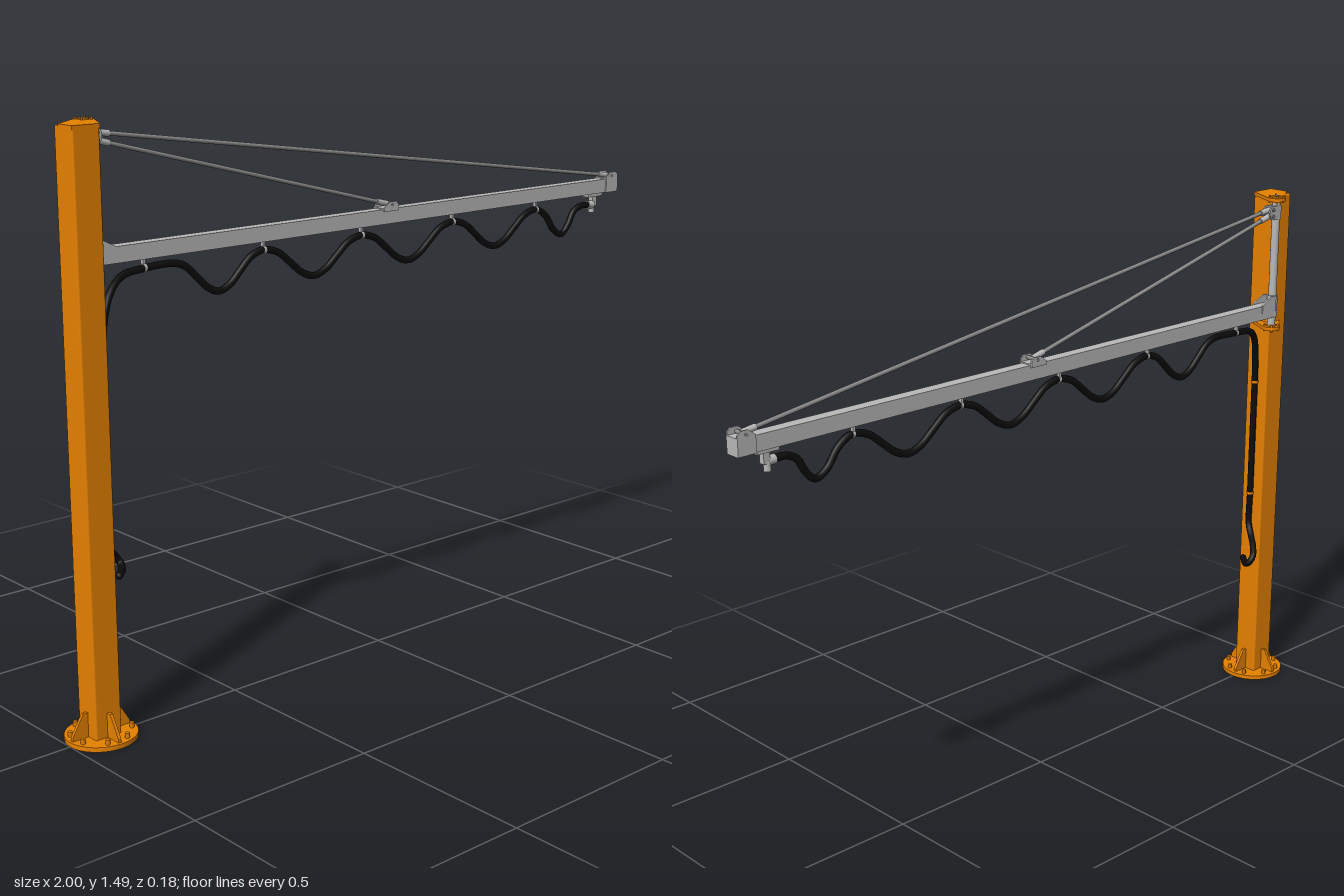
import * as THREE from 'three';
import { RoundedBoxGeometry } from 'three/addons/geometries/RoundedBoxGeometry.js';

const mat = (name, color) => {
  const m = new THREE.MeshStandardMaterial({ color });
  m.name = name;
  return m;
};

export function createModel() {
  const orange = mat('orange paint', 0xe88200);
  const grey = mat('light grey metal', 0xb9b9b9);
  const darkGrey = mat('grey steel', 0x8c8c8c);
  const black = mat('black rubber', 0x0c0c0c);
  const root = new THREE.Group();
  root.name = 'jibCrane';

  const CX = -0.912; // column axis
  const PX = -0.853; // pivot axis
  const PZ = -0.063; // boom plane

  const add = (name, geo, m, x = 0, y = 0, z = 0) => {
    const mesh = new THREE.Mesh(geo, m);
    mesh.name = name;
    mesh.position.set(x, y, z);
    root.add(mesh);
    return mesh;
  };
  const box = (name, m, w, h, d, x, y, z) => add(name, new THREE.BoxGeometry(w, h, d), m, x, y, z);
  const cyl = (name, m, r, h, x, y, z, n = 16) => add(name, new THREE.CylinderGeometry(r, r, h, n), m, x, y, z);
  const shapeOf = (pts) => new THREE.Shape(pts.map(([x, y]) => new THREE.Vector2(x, y)));
  const plate = (pts, depth) => new THREE.ExtrudeGeometry(shapeOf(pts), { depth, bevelEnabled: false }).translate(0, 0, -depth / 2);

  // Cylinder between two points
  const rod = (name, m, a, b, r) => {
    const dir = b.clone().sub(a);
    const mid = a.clone().add(b).multiplyScalar(0.5);
    const mesh = cyl(name, m, r, dir.length(), mid.x, mid.y, mid.z, 12);
    mesh.quaternion.setFromUnitVectors(new THREE.Vector3(0, 1, 0), dir.normalize());
  };

  // Column and round foot
  add('column', new RoundedBoxGeometry(0.074, 1.478, 0.074, 3, 0.005), orange, CX, 0.743, 0);
  cyl('basePlate', orange, 0.09, 0.012, -0.91, 0.006, 0, 40);
  const gusset = plate([[0.035, 0.01], [0.082, 0.01], [0.082, 0.022], [0.05, 0.075], [0.035, 0.075]], 0.008);
  for (let i = 0; i < 4; i++) {
    add('baseGusset', gusset, orange, CX, 0, 0).rotation.y = i * Math.PI / 2;
    for (const off of [0.38, 1.19]) {
      const a = i * Math.PI / 2 + off;
      cyl('anchorBolt', orange, 0.006, 0.014, -0.91 + 0.076 * Math.cos(a), 0.018, 0.076 * Math.sin(a), 6);
    }
  }

  // Pivot brackets: a plate with a rounded nose at the pivot
  const nose = [];
  for (let i = 0; i <= 10; i++) {
    const a = -0.45 + i * 0.26;
    nose.push([PX + 0.025 * Math.cos(a), -PZ + 0.025 * Math.sin(a)]);
  }
  const bracket = (name, left, front, y) => {
    const pts = [[left, front], [-0.874, front], ...nose, [left, 0.02]];
    add(name, plate(pts, 0.01).rotateX(-Math.PI / 2), orange, 0, y, 0);
    cyl('pivotHub', orange, 0.014, 0.018, PX, y, PZ);
    cyl('pivotPin', grey, 0.006, 0.022, PX, y, PZ);
    for (let i = 0; i < 4; i++) {
      const a = Math.PI / 4 + i * Math.PI / 2;
      cyl('pivotBolt', orange, 0.003, 0.022, PX + 0.019 * Math.cos(a), y, PZ + 0.019 * Math.sin(a), 6);
    }
  };
  bracket('topBracket', -0.949, -0.037, 1.481);
  bracket('lowerBracket', -0.94, -0.03, 1.112);

  // Turning mast
  cyl('mast', grey, 0.0115, 0.36, PX, 1.296, PZ, 20);

  // Boom: a hollow rail with a slot underneath
  const w = 0.0165, t = 0.003, s = 0.006;
  const rail = shapeOf([[-w, 0.04], [-w, 0], [-s, 0], [-s, t], [-w + t, t], [-w + t, 0.04 - t],
    [w - t, 0.04 - t], [w - t, t], [s, t], [s, 0], [w, 0], [w, 0.04]]);
  const railGeo = new THREE.ExtrudeGeometry(rail, { depth: 1.84, bevelEnabled: false }).rotateY(Math.PI / 2);
  add('boom', railGeo, grey, -0.845, 1.146, PZ);
  box('boomEndCap', grey, 0.006, 0.042, 0.036, 0.997, 1.166, PZ);

  // Boom root: low triangular cheeks and a slim collar on the mast
  const cheek = plate([[-0.848, 1.165], [-0.79, 1.165], [-0.79, 1.188], [-0.83, 1.208], [-0.848, 1.208]], 0.005);
  for (const k of [-1, 1]) add('boomRootCheek', cheek, grey, 0, 0, PZ + k * 0.0165);
  cyl('boomRootCollar', grey, 0.015, 0.062, PX, 1.176, PZ, 20);

  // Tie rods with forked ends
  const pin = (x, y, len) => { cyl('clevisPin', darkGrey, 0.005, len, x, y, PZ, 10).rotation.x = Math.PI / 2; };
  const tie = (a, b) => {
    const p = new THREE.Vector3(a[0], a[1], PZ), q = new THREE.Vector3(b[0], b[1], PZ);
    const d = q.clone().sub(p).normalize();
    rod('tieRod', darkGrey, p, q, 0.0055);
    rod('tieRodSleeve', grey, p, p.clone().addScaledVector(d, 0.04), 0.008);
    rod('tieRodSleeve', grey, q.clone().addScaledVector(d, -0.04), q, 0.008);
    pin(a[0], a[1], 0.034);
    pin(b[0], b[1], 0.046);
  };
  tie([-0.825, 1.455], [0.975, 1.194]);
  tie([-0.825, 1.437], [0.09, 1.197]);
  const ear = plate([[-0.86, 1.425], [-0.82, 1.428], [-0.812, 1.44], [-0.812, 1.456], [-0.82, 1.465], [-0.86, 1.465]], 0.004);
  for (const k of [-1, 1]) add('mastEar', ear, grey, 0, 0, PZ + k * 0.011);

  // Saddles gripping the boom under each tie rod
  const saddle = (x0, x1, y0) => {
    const side = plate([[x0, y0], [x1, y0], [x1, 1.196], [x1 - 0.01, 1.205], [x0 + 0.02, 1.205], [x0, 1.19]], 0.004);
    for (const k of [-1, 1]) add('tieSaddleSide', side, grey, 0, 0, PZ + k * 0.0195);
    box('tieSaddleTop', grey, x1 - x0, 0.004, 0.04, (x0 + x1) / 2, 1.187, PZ);
  };
  saddle(0.06, 0.112, 1.18);
  saddle(0.95, 1.0, 1.146);

  // Hose: loose tail, run up the column, then wave-shaped loops under the boom
  const HZ = -0.06;
  const path = [[-0.835, 0.392, -0.01], [-0.799, 0.393, -0.05], [-0.794, 0.402, -0.066], [-0.805, 0.42, -0.071],
    [-0.828, 0.441, -0.052], [-0.856, 0.464, -0.018], [-0.867, 0.49, 0], [-0.867, 0.6, 0], [-0.867, 0.78, 0],
    [-0.867, 0.93, 0], [-0.853, 1.02, -0.01], [-0.82, 1.08, -0.03], [-0.77, 1.113, -0.052], [-0.70, 1.122, HZ]];
  const hangers = [-0.70, -0.335, -0.005, 0.33, 0.665];
  const loop = (from, to) => {
    for (let i = 0; i <= 8; i++)
      path.push([from + (to - from) * i / 8, 1.08 + 0.043 * Math.cos(i * Math.PI / 4), HZ]);
  };
  loop(-0.61, -0.345);
  loop(-0.325, -0.015);
  loop(0.005, 0.32);
  loop(0.34, 0.655);
  path.push([0.677, 1.12, HZ], [0.71, 1.098, HZ], [0.742, 1.056, HZ], [0.776, 1.039, HZ], [0.803, 1.062, HZ],
    [0.826, 1.099, HZ], [0.855, 1.113, HZ], [0.9, 1.113, HZ]);
  const curve = new THREE.CatmullRomCurve3(path.map((p) => new THREE.Vector3(...p)));
  add('hose', new THREE.TubeGeometry(curve, 400, 0.0093, 12, false), black);
  for (const i of [0, path.length - 1]) add('hoseEnd', new THREE.SphereGeometry(0.0093, 12, 8), black, ...path[i]);

  // Hose clamps on the column, hangers and end fitting on the boom
  for (const y of [0.59, 0.935]) cyl('hoseClamp', orange, 0.0108, 0.007, -0.867, y, 0);
  for (const x of hangers) {
    box('hoseHanger', grey, 0.007, 0.028, 0.01, x, 1.138, PZ);
    cyl('hangerBand', grey, 0.0105, 0.007, x, 1.123, HZ).rotation.z = Math.PI / 2;
  }
  box('endFittingPlate', grey, 0.06, 0.008, 0.024, 0.913, 1.141, PZ);
  box('endFittingStem', grey, 0.018, 0.03, 0.016, 0.915, 1.124, PZ);
  cyl('endFittingNozzle', grey, 0.009, 0.026, 0.91, 1.103, PZ);
  cyl('endFittingCoupling', grey, 0.012, 0.022, 0.898, 1.113, HZ).rotation.z = Math.PI / 2;

  return root;
}
